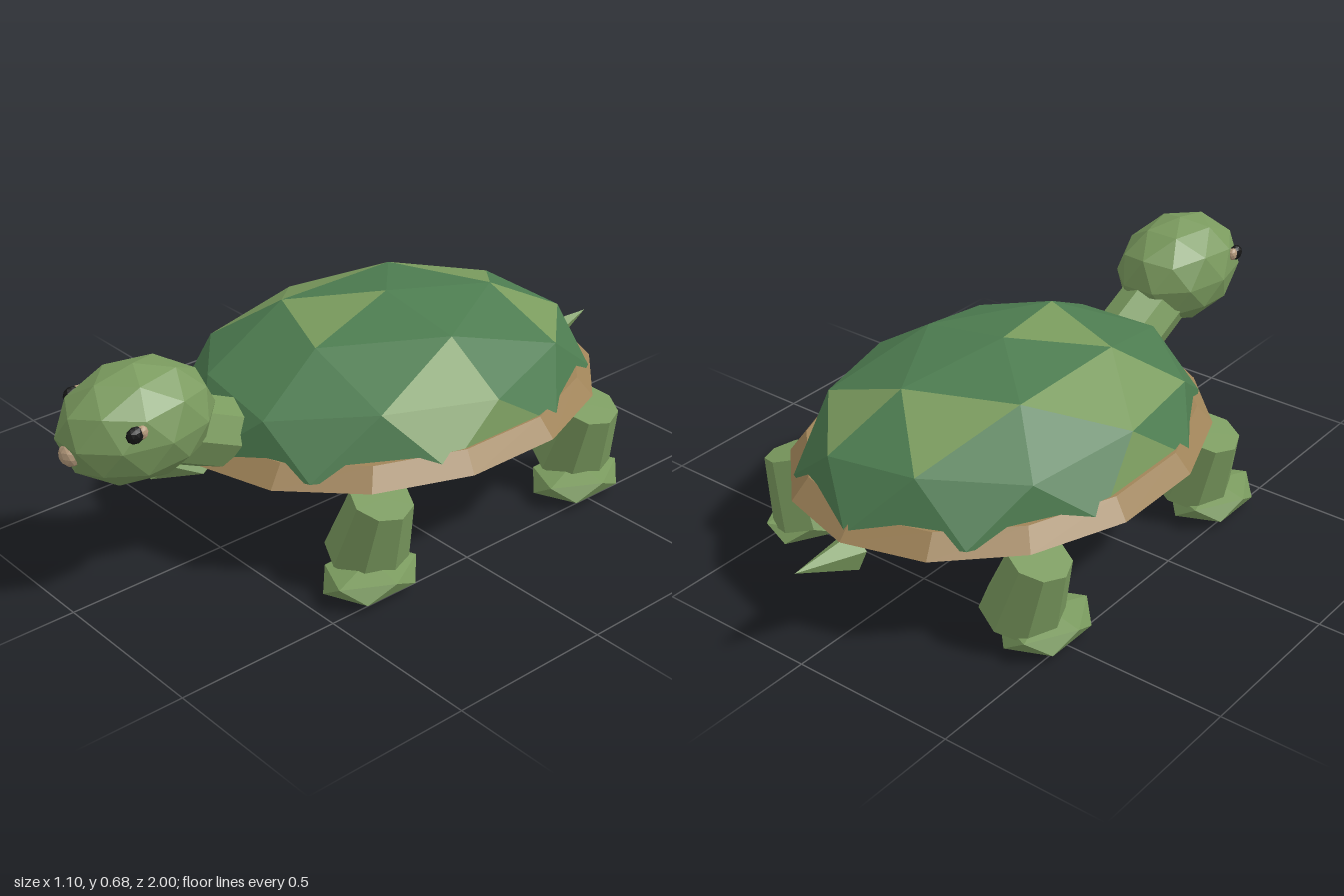
import * as THREE from 'three';

const mat = (name, color) => {
  const m = new THREE.MeshStandardMaterial({ color, flatShading: true });
  m.name = name;
  return m;
};

// Icosphere with a vertex on the y axis and a ring vertex towards +z
function poleSphere(detail, sx, sy, sz, turn = 0) {
  return new THREE.IcosahedronGeometry(1, detail)
    .rotateX(-Math.atan((1 + Math.sqrt(5)) / 2))
    .rotateY(turn)
    .scale(sx, sy, sz);
}

// Faceted dome made of rings; listed faces take the second material
function shellGeometry(sx, sy, sz) {
  const at = (r, y, deg) => {
    const a = THREE.MathUtils.degToRad(deg);
    return [r * Math.cos(a) * sx, y * sy, r * Math.sin(a) * sz];
  };
  const light = ['3-3', '4-1', '2-3', '2-1', '0-1', '1-0', '0-4', '0-7', '2-6'];
  const sets = [[], []];
  for (let k = 0; k < 5; k++) {
    const d = k * 72;
    const P = [0, sy, 0];
    const A = at(0.526, 0.851, d), A2 = at(0.526, 0.851, d + 72);
    const U = at(0.894, 0.447, d), U2 = at(0.894, 0.447, d + 72);
    const M = at(0.851, 0.526, d + 36);
    const E0 = at(1, 0, d - 18), E1 = at(1, 0, d + 18), E2 = at(1, 0, d + 54);
    const faces = [
      [P, A, A2], [A, U, M], [A2, M, U2], [A, M, A2],
      [U, E1, M], [U2, M, E2], [M, E1, E2], [U, E0, E1],
    ];
    faces.forEach(([a, b, c], i) => sets[light.includes(`${k}-${i}`) ? 1 : 0].push(...a, ...c, ...b));
  }
  const g = new THREE.BufferGeometry();
  g.setAttribute('position', new THREE.Float32BufferAttribute(sets.flat(), 3));
  g.addGroup(0, sets[0].length / 3, 0);
  g.addGroup(sets[0].length / 3, sets[1].length / 3, 1);
  g.computeVertexNormals();
  return g;
}

export function createModel() {
  const model = new THREE.Group();
  model.name = 'turtle';
  const skin = mat('skin green', 0x7a9a5e);
  const shellGreen = mat('shell green', 0x4d7c50);
  const patchGreen = mat('shell patch green', 0x7a9b5e);
  const rimTan = mat('rim tan', 0xa08459);
  const bellyTan = mat('belly tan', 0xb8a277);
  const noseTan = mat('nose tan', 0xb59a7c);
  const black = mat('eye black', 0x151515);

  const add = (name, geometry, material, x = 0, y = 0, z = 0) => {
    const m = new THREE.Mesh(geometry, material);
    m.name = name;
    m.position.set(x, y, z);
    model.add(m);
    return m;
  };
  // Tapered cylinder running between two points
  const limb = (name, from, to, r0, r1, sides) => {
    const a = new THREE.Vector3(...from), b = new THREE.Vector3(...to);
    const dir = b.clone().sub(a);
    const m = add(name, new THREE.CylinderGeometry(r1, r0, dir.length(), sides), skin);
    m.position.copy(a).add(b).multiplyScalar(0.5);
    m.quaternion.setFromUnitVectors(new THREE.Vector3(0, 1, 0), dir.normalize());
    return m;
  };

  // Shell, rim and belly
  add('shell', shellGeometry(0.53, 0.305, 0.68), [shellGreen, patchGreen], 0, 0.32, -0.13);
  const rim = new THREE.CylinderGeometry(0.92, 1, 0.06, 14).scale(0.558, 1, 0.7);
  add('shellRim', rim, rimTan, 0, 0.332, -0.13);
  add('belly', poleSphere(0, 0.45, 0.122, 0.635, Math.PI / 2), bellyTan, 0, 0.3, -0.12);

  // Head, neck and nose
  add('head', poleSphere(1, 0.172, 0.168, 0.235), skin, 0, 0.515, 0.76);
  limb('neck', [0, 0.355, 0.44], [0, 0.475, 0.7], 0.105, 0.105, 8);
  add('nose', poleSphere(1, 0.037, 0.032, 0.03), noseTan, 0, 0.485, 0.97);

  // Tail
  limb('tail', [0, 0.252, -0.785], [0, 0.295, -1], 0.055, 0, 5);

  for (const s of [1, -1]) {
    const side = s > 0 ? 'left' : 'right';
    add(`${side}Eye`, poleSphere(1, 0.018, 0.024, 0.027), black, s * 0.147, 0.565, 0.862);
    add(`${side}EyeCorner`, poleSphere(1, 0.014, 0.02, 0.018), noseTan, s * 0.149, 0.567, 0.842);

    // Legs lean outwards at the top and stand on flat feet
    for (const [end, z] of [['Front', 0.28], ['Back', -0.54]]) {
      limb(`${side}${end}Leg`, [s * 0.385, 0.085, z], [s * 0.447, 0.285, z], 0.12, 0.09, 8);
      add(`${side}${end}Foot`, poleSphere(0, 0.125, 0.05, 0.165, s * Math.PI / 2), skin,
        s * 0.44, 0.053, z + 0.035);
    }
  }
  return model;
}
